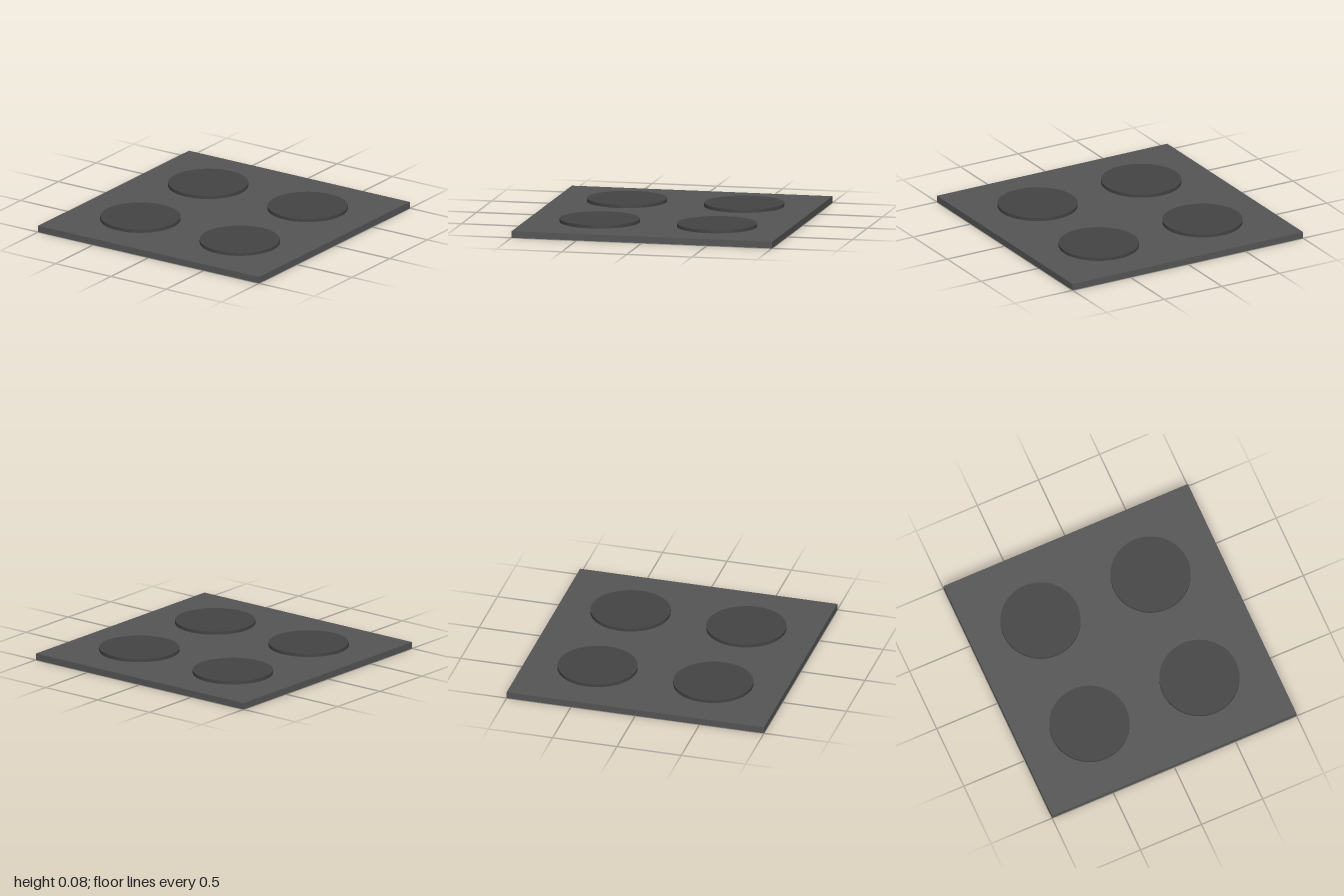
import * as THREE from 'three';

export function createModel() {
  const model = new THREE.Group();
  const slabHeight = 0.05, plateHeight = 0.025, plateRadius = 0.3, offset = 0.45;

  // Square cooktop slab
  const slab = new THREE.Mesh(
    new THREE.BoxGeometry(2, slabHeight, 2),
    new THREE.MeshStandardMaterial({ color: 0x555555 })
  );
  slab.name = 'slab';
  slab.position.y = slabHeight / 2;
  model.add(slab);

  // Four round hot plates standing on the slab
  const plateGeometry = new THREE.CylinderGeometry(plateRadius, plateRadius, plateHeight, 64);
  const plateMaterial = new THREE.MeshStandardMaterial({ color: 0x444444 });
  for (const [zSide, zName] of [[1, 'front'], [-1, 'back']]) {
    for (const [xSide, xName] of [[1, 'Left'], [-1, 'Right']]) {
      const plate = new THREE.Mesh(plateGeometry, plateMaterial);
      plate.name = `${zName}${xName}Plate`;
      plate.position.set(xSide * offset, slabHeight + plateHeight / 2, zSide * offset);
      model.add(plate);
    }
  }
  return model;
}
